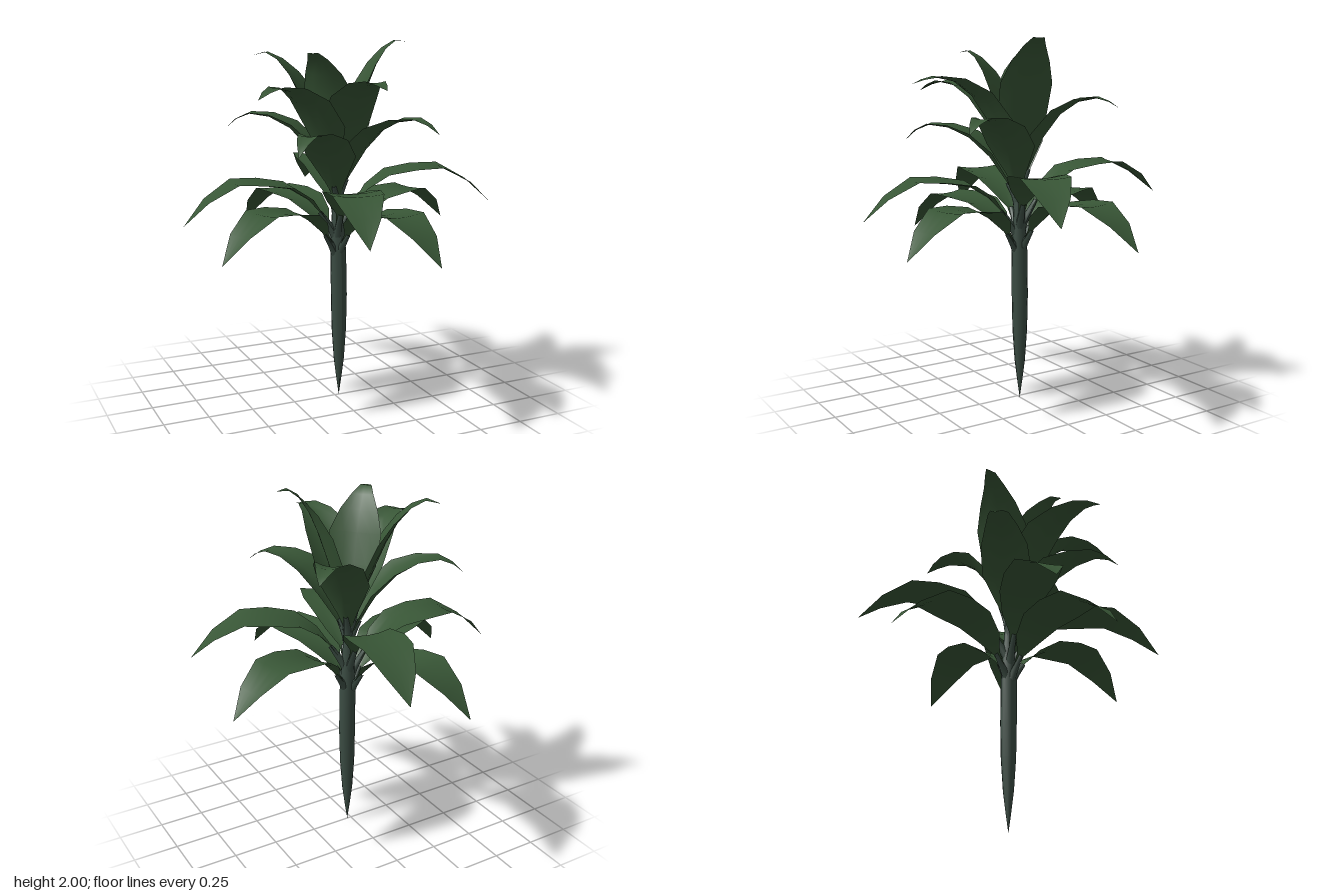
import * as THREE from 'three';

const leafMat = new THREE.MeshStandardMaterial({ color: 0x385636, side: THREE.DoubleSide });
const stemMat = new THREE.MeshStandardMaterial({ color: 0x3b4c43 });
const AXIS_X = 0.015;

// Profile rows: [share of reach, share of rise, share of tip droop, half width]
const ARCHING = [
  [0.04, 0, 0, 0.012], [0.12, 0.36, 0, 0.025], [0.2, 0.62, 0, 0.085], [0.33, 0.87, 0, 0.13],
  [0.5, 0.96, 0, 0.147], [0.67, 1, 0, 0.13], [0.85, 1, 0.4, 0.08], [1, 1, 1, 0]
];
const UPRIGHT = [
  [0.03, 0, 0, 0.015], [0.1, 0.2, 0, 0.055], [0.25, 0.56, 0, 0.14], [0.42, 0.82, 0, 0.132],
  [0.6, 0.96, 0, 0.09], [0.78, 1, 0, 0.055], [0.9, 1, 0.35, 0.03], [1, 1, 1, 0]
];
const STEEP = [
  [0.03, 0, 0, 0.015], [0.12, 0.2, 0, 0.07], [0.27, 0.43, 0, 0.135], [0.42, 0.67, 0, 0.145],
  [0.55, 0.83, 0, 0.105], [0.69, 0.94, 0, 0.06], [0.84, 1, 0.1, 0.03], [1, 1, 1, 0]
];

// Leaves: [tip x, tip z, tip y, highest y, base y]
const LOWER = [
  [-0.26, -0.75, 0.92, 1.145, 0.88], [0.80, -0.20, 0.95, 1.155, 0.88],
  [0.22, 0.78, 0.91, 1.125, 0.87], [-0.74, 0.27, 0.90, 1.125, 0.87],
  [0.17, -0.83, 1.14, 1.325, 1.02], [0.82, 0.28, 1.12, 1.315, 1.02],
  [-0.20, 0.83, 1.05, 1.255, 0.98], [-0.83, -0.10, 1.04, 1.255, 0.98]
];
const UPPER = [
  [0.36, 0.50, 1.53, 1.6, 1.18], [-0.41, 0.48, 1.45, 1.54, 1.15],
  [-0.52, -0.30, 1.53, 1.61, 1.18], [0.40, -0.38, 1.64, 1.69, 1.21],
  [-0.01, 0.62, 1.77, 1.8, 1.23], [-0.55, 0.31, 1.72, 1.77, 1.23]
];
const CROWN = [
  [-0.36, -0.29, 1.92, 1.94, 1.24], [-0.25, 0.22, 1.93, 1.94, 1.26],
  [0.38, 0.09, 1.995, 2.0, 1.26]
];

// Cupped blade swept along its arching midline, with a tapered stalk beneath
function makeLeaf([tx, tz, tipY, topY, baseY], profile, cupBase, name) {
  const leaf = new THREE.Group();
  leaf.name = name;
  const reach = Math.hypot(tx - AXIS_X, tz);
  const dir = new THREE.Vector3((tx - AXIS_X) / reach, 0, tz / reach);
  const side = new THREE.Vector3(-dir.z, 0, dir.x);
  const mid = profile.map(([r, rise, droop]) => new THREE.Vector3(AXIS_X, 0, 0)
    .addScaledVector(dir, r * reach)
    .setY(baseY + rise * (topY - baseY) - droop * (topY - tipY)));

  const cols = 4, pos = [], index = [];
  mid.forEach((p, i) => {
    const tangent = mid[Math.min(i + 1, mid.length - 1)].clone()
      .sub(mid[Math.max(i - 1, 0)]).normalize();
    const up = tangent.clone().cross(side).negate();
    const cup = cupBase * (1 - i / (mid.length - 1)) + 0.03;
    for (let j = 0; j <= cols; j++) {
      const s = (j / cols) * 2 - 1, w = profile[i][3];
      const v = p.clone().addScaledVector(side, s * w).addScaledVector(up, cup * w * s * s);
      pos.push(v.x, v.y, v.z);
      if (i < mid.length - 1 && j < cols) {
        const a = i * (cols + 1) + j, b = a + cols + 1;
        index.push(a, a + 1, b, a + 1, b + 1, b);
      }
    }
  });
  const geo = new THREE.BufferGeometry();
  geo.setAttribute('position', new THREE.Float32BufferAttribute(pos, 3));
  geo.setIndex(index);
  geo.computeVertexNormals();
  const blade = new THREE.Mesh(geo, leafMat);
  blade.name = 'blade';

  const start = new THREE.Vector3(AXIS_X, baseY - 0.07, 0);
  const path = new THREE.CatmullRomCurve3([start, mid[0], mid[1]]);
  const stalk = new THREE.Mesh(taperedTube(path, 0.028, 0.012), stemMat);
  stalk.name = 'stalk';
  leaf.add(blade, stalk);
  return leaf;
}

// Tube whose rings shrink from radius r0 to r1
function taperedTube(path, r0, r1) {
  const steps = 6, sides = 8;
  const geo = new THREE.TubeGeometry(path, steps, 1, sides, false);
  const p = geo.attributes.position, v = new THREE.Vector3();
  for (let k = 0; k < p.count; k++) {
    const t = Math.floor(k / (sides + 1)) / steps;
    const c = path.getPointAt(t);
    v.fromBufferAttribute(p, k).sub(c).multiplyScalar(r0 + (r1 - r0) * t).add(c);
    p.setXYZ(k, v.x, v.y, v.z);
  }
  geo.computeVertexNormals();
  return geo;
}

export function createModel() {
  const plant = new THREE.Group();
  plant.name = 'plant';

  // Trunk tapering to a point at the bottom
  const outline = [[0, 0], [0.014, 0.1], [0.029, 0.22], [0.041, 0.4], [0.045, 0.6],
    [0.044, 0.85], [0.036, 1.0], [0.027, 1.15], [0.018, 1.25], [0, 1.28]];
  const trunk = new THREE.Mesh(
    new THREE.LatheGeometry(outline.map(([x, y]) => new THREE.Vector2(x, y)), 12), stemMat);
  trunk.name = 'trunk';
  const tp = trunk.geometry.attributes.position;
  for (let k = 0; k < tp.count; k++) // slight lean toward the crown
    tp.setX(k, tp.getX(k) + 0.025 - 0.012 * Math.max(0, tp.getY(k) - 0.6) / 0.7);
  trunk.geometry.computeVertexNormals();
  plant.add(trunk);

  // Lower ring of long arching leaves, then upright ones, then the steep crown
  LOWER.forEach((l) => plant.add(makeLeaf(l, ARCHING, 0.2, 'lowerLeaf')));
  UPPER.forEach((l) => plant.add(makeLeaf(l, UPRIGHT, 0.45, 'upperLeaf')));
  CROWN.forEach((l) => plant.add(makeLeaf(l, STEEP, 0.4, 'crownLeaf')));

  // Small buds in the heart of the crown
  for (let i = 0; i < 6; i++) {
    const a = (i / 6) * Math.PI * 2;
    const bud = new THREE.Mesh(new THREE.SphereGeometry(0.01, 8, 6), stemMat);
    bud.name = 'bud';
    bud.scale.y = 2.5;
    bud.position.set(0.01 + 0.018 * Math.cos(a), 1.27, 0.018 * Math.sin(a));
    plant.add(bud);
  }
  return plant;
}
